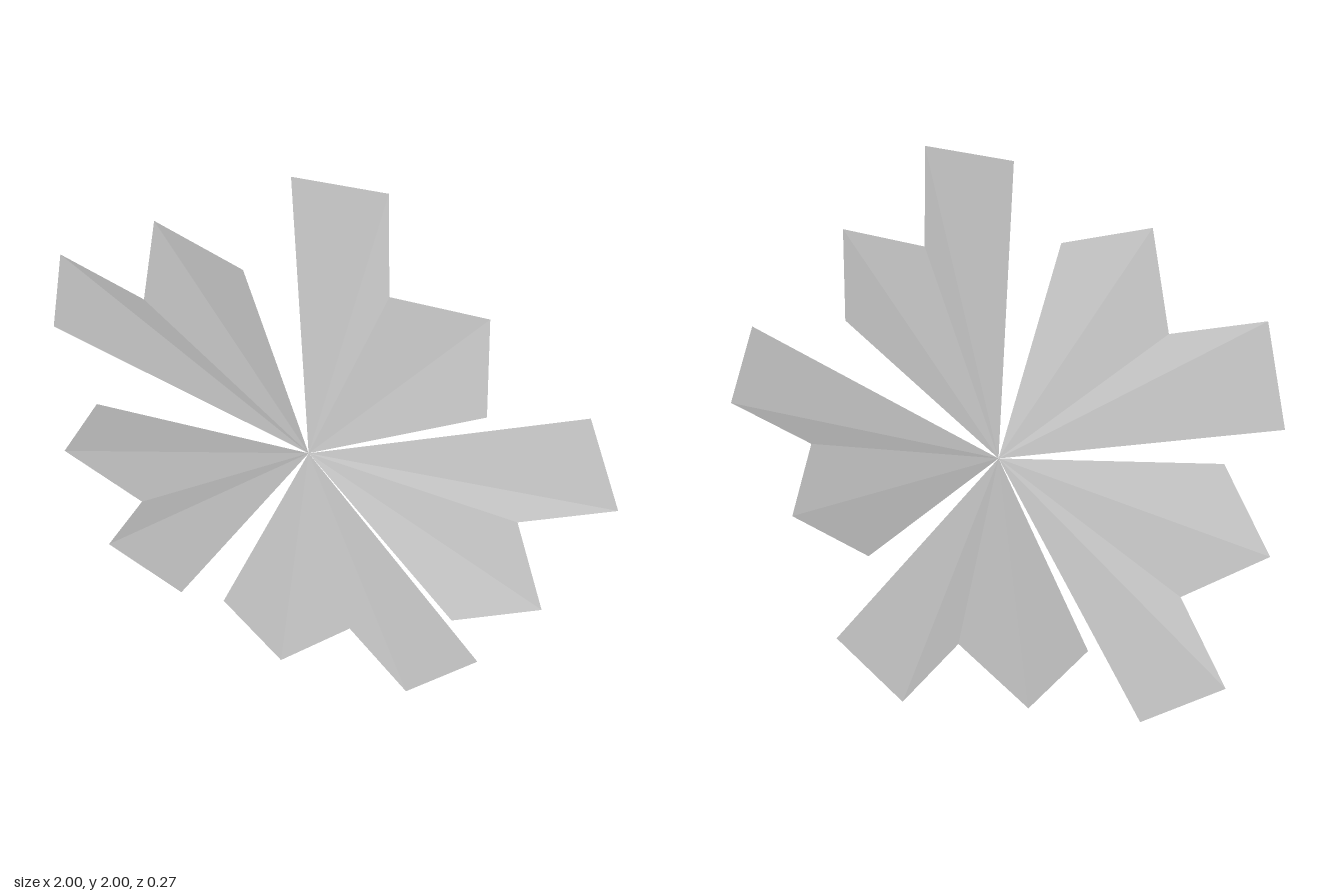
import * as THREE from 'three';

const CENTRE = [-0.04, 0.98, -0.01];

// Rim of each petal: edge, tip, notch, tip, edge (clockwise from the front)
const PETALS = {
  topPetal: [[-0.11, 1.97, -0.07], [0.21, 1.995, -0.01], [0.23, 1.665, 0.025], [0.555, 1.69, 0.095], [0.575, 1.365, 0.135]],
  leftPetal: [[0.875, 1.345, 0.02], [1, 1.045, 0.066], [0.69, 0.925, 0.071], [0.805, 0.62, 0.125], [0.51, 0.5, 0.137]],
  bottomPetal: [[0.59, 0.215, 0.019], [0.34, 0, 0.03], [0.125, 0.26, 0.036], [-0.13, 0.045, 0.055], [-0.34, 0.295, 0.067]],
  lowerRightPetal: [[-0.57, 0.14, -0.085], [-0.85, 0.31, -0.083], [-0.68, 0.59, -0.042], [-0.96, 0.765, -0.032], [-0.79, 1.04, 0.015]],
  upperRightPetal: [[-1, 1.22, -0.137], [-0.925, 1.54, -0.102], [-0.61, 1.46, -0.042], [-0.54, 1.78, -0.01], [-0.225, 1.7, 0.061]],
};

// Thin creased sheet: a fan of flat panels from the centre to the rim
function petalGeometry(rim) {
  const positions = [];
  for (let i = 0; i < rim.length - 1; i++) {
    positions.push(...CENTRE, ...rim[i + 1], ...rim[i]);
  }
  const geometry = new THREE.BufferGeometry();
  geometry.setAttribute('position', new THREE.Float32BufferAttribute(positions, 3));
  geometry.computeVertexNormals();
  return geometry;
}

export function createModel() {
  const group = new THREE.Group();
  group.name = 'foldedFlower';
  const material = new THREE.MeshStandardMaterial({
    color: 0xcccccc, flatShading: true, side: THREE.DoubleSide,
  });
  for (const [name, rim] of Object.entries(PETALS)) {
    const petal = new THREE.Mesh(petalGeometry(rim), material);
    petal.name = name;
    group.add(petal);
  }
  return group;
}
